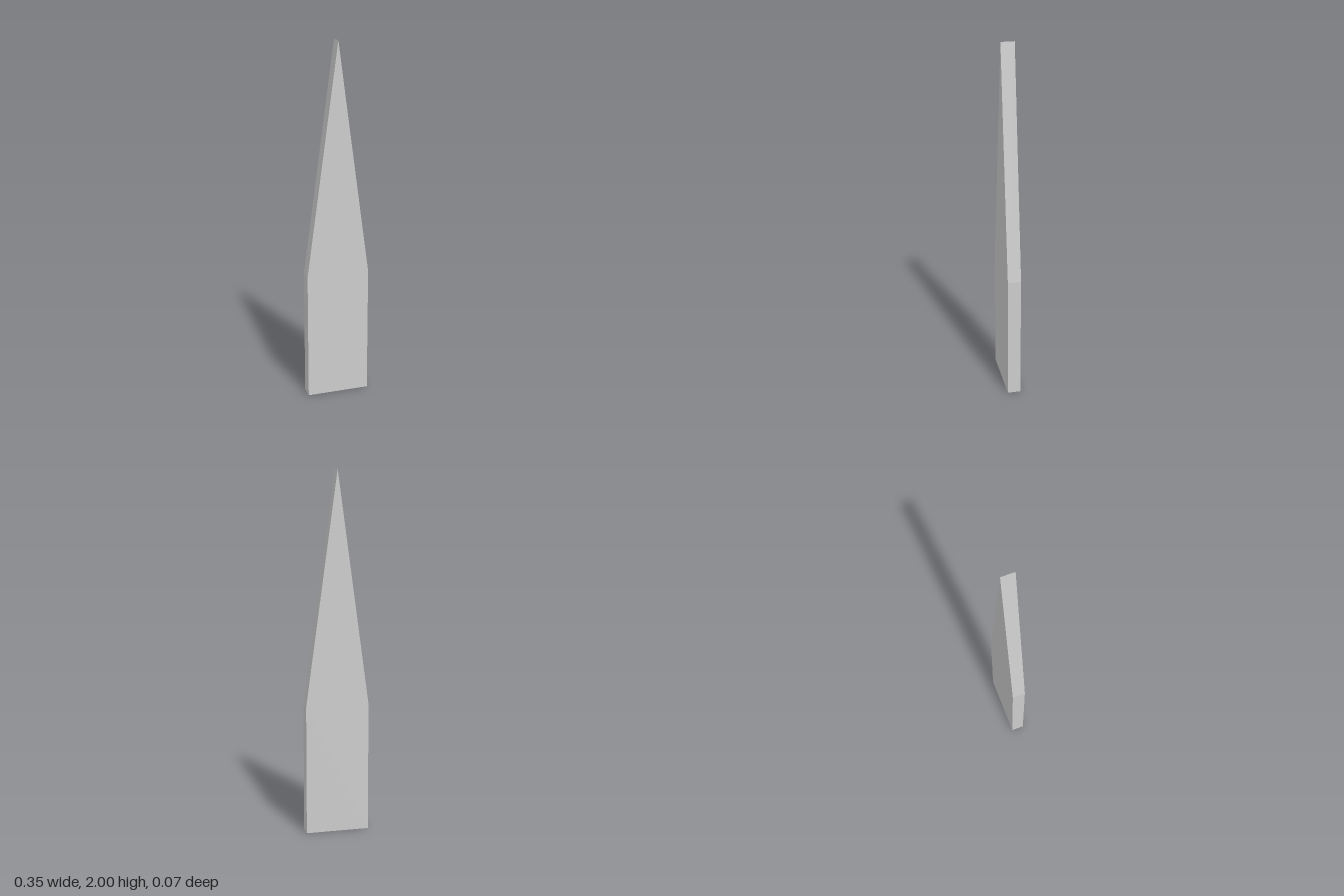
import * as THREE from 'three';

export function createModel() {
  const model = new THREE.Group();
  const halfWidth = 0.177, shoulder = 0.72, height = 2, depth = 0.074;

  // Pointed slat outline: straight base, tapering to a sharp tip
  const outline = new THREE.Shape([
    new THREE.Vector2(-halfWidth, 0),
    new THREE.Vector2(halfWidth, 0),
    new THREE.Vector2(halfWidth, shoulder),
    new THREE.Vector2(0, height),
    new THREE.Vector2(-halfWidth, shoulder),
  ]);
  const geometry = new THREE.ExtrudeGeometry(outline, { depth, bevelEnabled: false });
  geometry.translate(0, 0, -depth / 2);

  const slat = new THREE.Mesh(
    geometry,
    new THREE.MeshStandardMaterial({ color: 0xcccccc, flatShading: true })
  );
  slat.name = 'pointedSlat';
  model.add(slat);
  return model;
}
